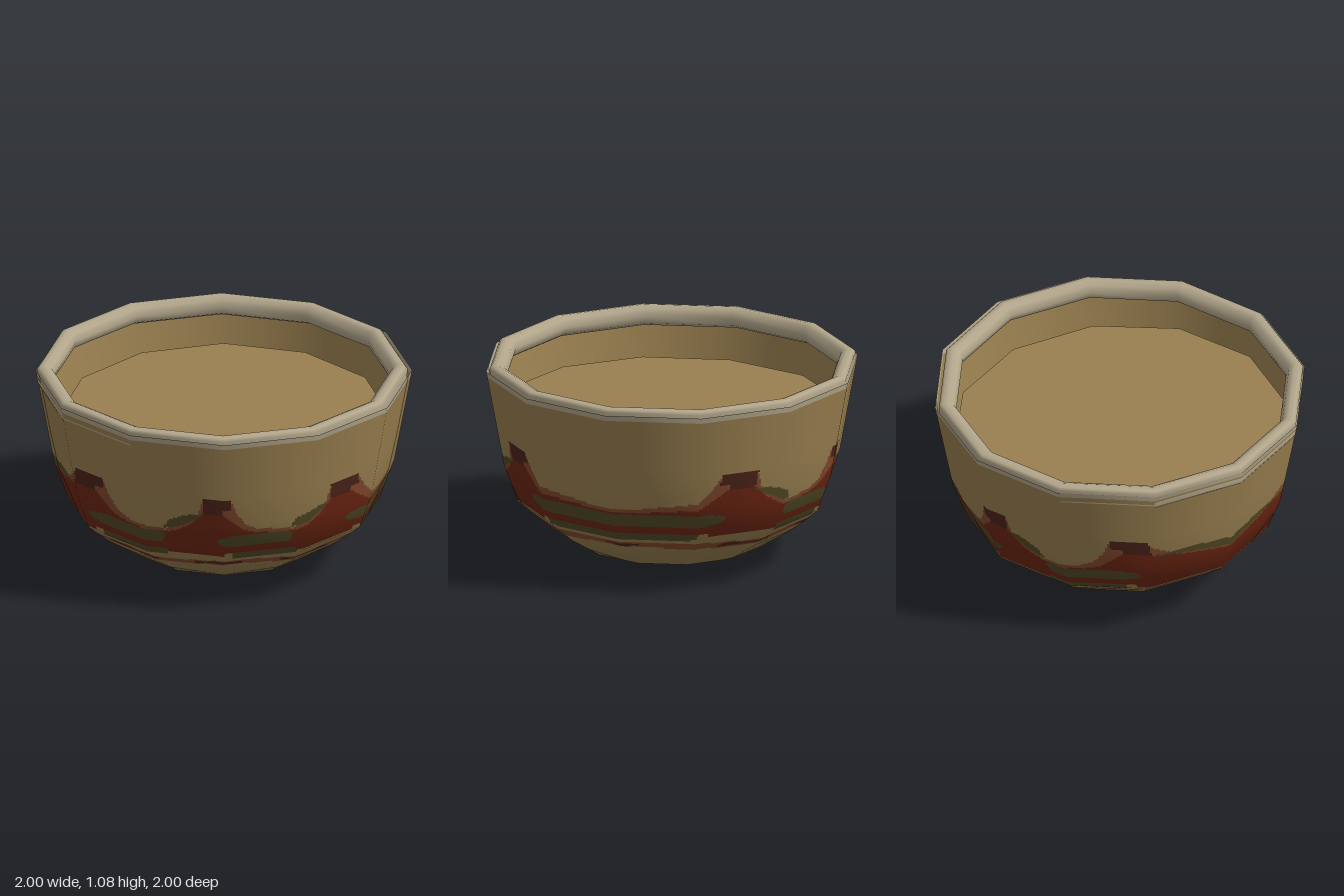
import * as THREE from 'three';

const SIDES = 12;
const STEPS = 40; // colour cells across each side

// Outer profile of the bowl: radius, height, rows up to the next point
const PROFILE = [
  [0, 0.005, 1], [0.2, 0.035, 1], [0.5, 0.08, 1], [0.69, 0.2, 10], [0.83, 0.32, 20],
  [0.905, 0.53, 18], [0.94, 0.72, 1], [0.995, 1.02, 1], [1, 1.05, 0],
];

const makeMaterial = (name, color) => {
  const m = new THREE.MeshStandardMaterial({ color, side: THREE.DoubleSide });
  m.name = name;
  return m;
};

// Linear interpolation through a short list of [x, y] points
function curveAt(points, x) {
  if (x <= points[0][0]) return points[0][1];
  for (let i = 1; i < points.length; i++) {
    const [x0, y0] = points[i - 1];
    const [x1, y1] = points[i];
    if (x <= x1) return y0 + ((y1 - y0) * (x - x0)) / (x1 - x0);
  }
  return points[points.length - 1][1];
}

const OUTLINE_TOP = [[-0.28, 0.48], [-0.2, 0.54], [-0.1, 0.6], [-0.08, 0.68], [0.08, 0.68],
  [0.1, 0.62], [0.15, 0.54], [0.22, 0.5], [0.4, 0.485]];
const RED_TOP = [[-0.28, 0.46], [-0.2, 0.49], [-0.12, 0.55], [-0.06, 0.62], [0.02, 0.62],
  [0.08, 0.56], [0.14, 0.5], [0.22, 0.475], [0.4, 0.465]];
const LEAF_TOP = [[-0.29, 0.5], [-0.25, 0.55], [-0.17, 0.585], [-0.08, 0.6]];
const LEAF_BOTTOM = [[-0.29, 0.49], [-0.2, 0.51], [-0.12, 0.56], [-0.08, 0.59]];

const [TAN, RIM, RED, OLIVE, DARK, CLAY, FOOT] = [0, 1, 2, 3, 4, 5, 6];

// Painted pattern, a repeating hill motif projected from front to back
function paintAt(x, y) {
  if (y > 1.02) return RIM;
  if (y < 0.035) return FOOT;
  const u = (((x + 0.72) % 0.68) + 0.68) % 0.68;
  const v = u > 0.4 ? u - 0.68 : u;
  // lower wavy line
  const mid = 0.253 + 0.012 * Math.sin(x * 9.2 + 1);
  if (Math.abs(y - mid) < 0.011 && Math.sin(x * 14 + 2) > -0.2) return DARK;
  if (Math.abs(y - mid) < 0.021) return CLAY;
  if (y < 0.31) return TAN;
  // caps, leaves and bands
  if (Math.abs(v) < 0.075 && y > 0.62 + 0.02 * Math.sign(v - 0.03) && y < 0.695) return DARK;
  if (v > -0.29 && v < -0.08 && y < curveAt(LEAF_TOP, v) && y > curveAt(LEAF_BOTTOM, v)) return OLIVE;
  if (y < 0.35) return v > 0.08 || v < -0.26 ? OLIVE : y > 0.335 && v < 0.04 ? RED : TAN;
  const lens = ((v - 0.22) / 0.22) ** 4 + ((y - 0.43) / 0.038) ** 2;
  if (lens < 1) return OLIVE;
  if (y < curveAt(RED_TOP, v)) return RED;
  if (y < curveAt(OUTLINE_TOP, v)) return CLAY;
  return TAN;
}

// Rows of radius, height and smooth profile normal
function profileRows() {
  const slope = (i) => {
    const [r0, y0] = PROFILE[i];
    const [r1, y1] = PROFILE[i + 1];
    return new THREE.Vector2(y1 - y0, r0 - r1).normalize();
  };
  const last = PROFILE.length - 1;
  const normals = PROFILE.map((p, i) => {
    if (i === 0) return new THREE.Vector2(0, -1);
    if (i === last) return slope(i - 1);
    return slope(i - 1).add(slope(i)).normalize();
  });
  const rows = [];
  for (let i = 0; i < last; i++) {
    const [r0, y0, n] = PROFILE[i];
    const [r1, y1] = PROFILE[i + 1];
    for (let k = 0; k < n; k++) {
      const t = k / n;
      rows.push([r0 + (r1 - r0) * t, y0 + (y1 - y0) * t, normals[i].clone().lerp(normals[i + 1], t)]);
    }
  }
  rows.push([PROFILE[last][0], PROFILE[last][1], normals[last]]);
  return rows;
}

// Twelve-sided bowl wall, its cells sorted into one group for each colour
function bowlGeometry(colours) {
  const rows = profileRows();
  const cols = SIDES * STEPS;
  const pos = [];
  const nor = [];
  for (const [r, y, n] of rows) {
    for (let j = 0; j <= cols; j++) {
      const side = Math.floor(j / STEPS);
      const t = (j % STEPS) / STEPS;
      const a = (side * 2 * Math.PI) / SIDES;
      const b = ((side + 1) * 2 * Math.PI) / SIDES;
      const sx = Math.sin(a) * (1 - t) + Math.sin(b) * t;
      const cz = Math.cos(a) * (1 - t) + Math.cos(b) * t;
      const len = Math.hypot(sx, cz);
      const normal = new THREE.Vector3((sx / len) * n.x, n.y, (cz / len) * n.x).normalize();
      pos.push(r * sx, y, r * cz);
      nor.push(normal.x, normal.y, normal.z);
    }
  }
  const buckets = Array.from({ length: colours }, () => []);
  for (let i = 0; i < rows.length - 1; i++) {
    for (let j = 0; j < cols; j++) {
      const a = i * (cols + 1) + j;
      const d = a + cols + 1;
      const x = (pos[a * 3] + pos[(a + 1) * 3] + pos[d * 3] + pos[(d + 1) * 3]) / 4;
      const y = (rows[i][1] + rows[i + 1][1]) / 2;
      buckets[paintAt(x, y)].push(a, a + 1, d + 1, a, d + 1, d);
    }
  }
  const g = new THREE.BufferGeometry();
  g.setAttribute('position', new THREE.Float32BufferAttribute(pos, 3));
  g.setAttribute('normal', new THREE.Float32BufferAttribute(nor, 3));
  g.setIndex(buckets.flat());
  let start = 0;
  buckets.forEach((b, i) => {
    g.addGroup(start, b.length, i);
    start += b.length;
  });
  return g;
}

export function createModel() {
  const group = new THREE.Group();
  group.name = 'bowl';
  const materials = [
    makeMaterial('tanClay', 0x9a8050), makeMaterial('paleRim', 0xb3a78c),
    makeMaterial('rustRed', 0x6e2612), makeMaterial('olive', 0x524a26),
    makeMaterial('darkBrown', 0x4c2419), makeMaterial('lightRust', 0x844a2e),
    makeMaterial('greyFoot', 0x9c9484),
  ];

  // painted wall
  const wall = new THREE.Mesh(bowlGeometry(materials.length), materials);
  wall.name = 'bowlWall';
  group.add(wall);

  // rounded rim, set slightly off centre
  const section = [[0.94, 0.965], [0.975, 0.97], [0.982, 0.985], [0.985, 1.06], [0.972, 1.075],
    [0.94, 1.08], [0.908, 1.065], [0.892, 1.025], [0.905, 0.985], [0.94, 0.965]];
  const rim = new THREE.Mesh(
    new THREE.LatheGeometry(section.map(([r, y]) => new THREE.Vector2(r, y)), SIDES), materials[RIM]);
  rim.name = 'rim';
  rim.position.x = -0.01;
  group.add(rim);

  // flat contents inside the bowl
  const filling = new THREE.Mesh(new THREE.CircleGeometry(1, SIDES).rotateX(-Math.PI / 2), materials[TAN]);
  filling.name = 'filling';
  filling.scale.set(0.868, 1, 0.91);
  filling.position.y = 0.81;
  group.add(filling);

  return group;
}
